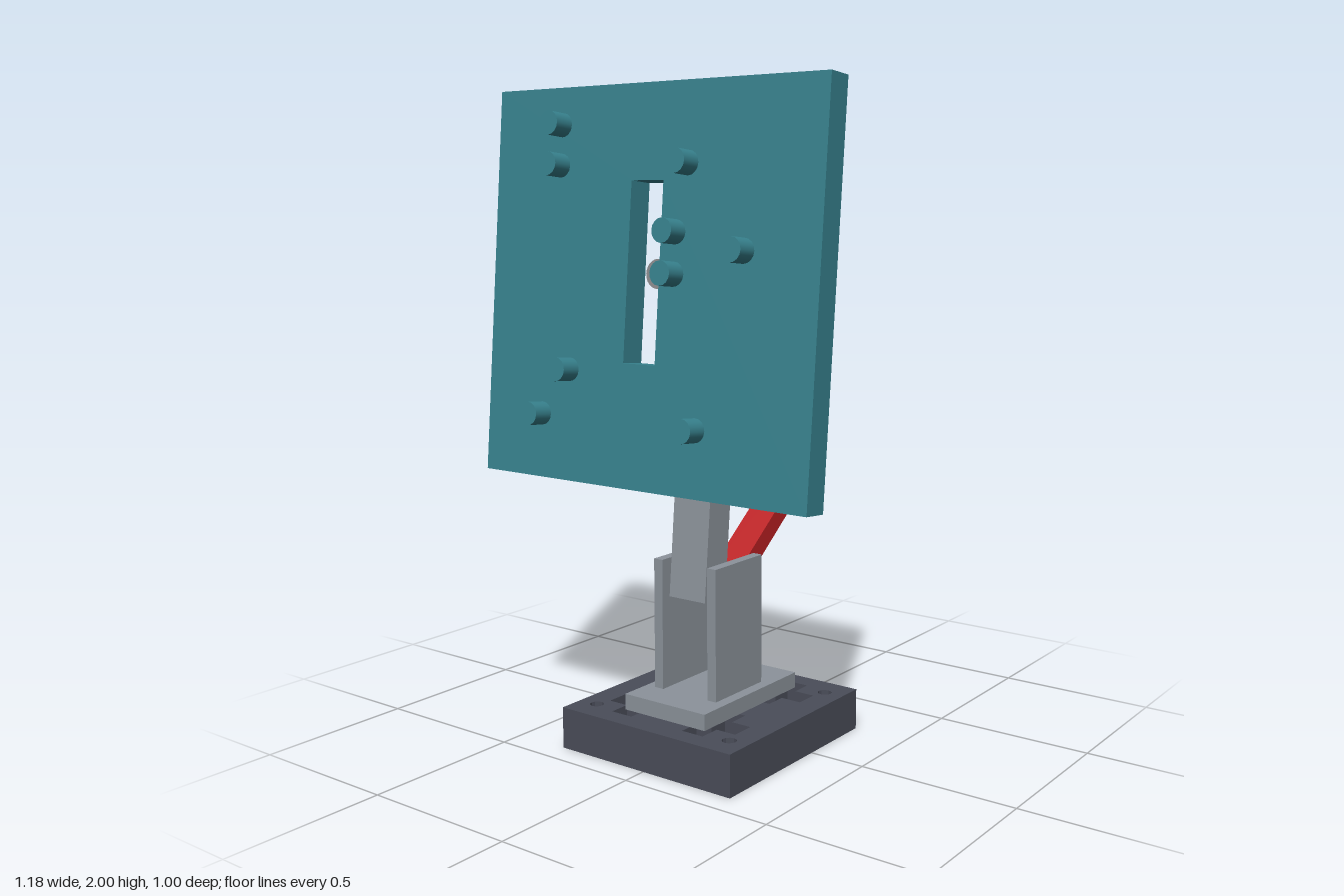
import * as THREE from 'three';

const mat = (name, color) => {
  const m = new THREE.MeshStandardMaterial({ color });
  m.name = name;
  return m;
};

function add(parent, name, geometry, material, x = 0, y = 0, z = 0) {
  const mesh = new THREE.Mesh(geometry, material);
  mesh.name = name;
  mesh.position.set(x, y, z);
  parent.add(mesh);
  return mesh;
}

function rectangle(Type, x0, y0, x1, y1) {
  return new Type([[x0, y0], [x1, y0], [x1, y1], [x0, y1]].map(p => new THREE.Vector2(...p)));
}

// Plus-shaped cut-out: long arm a, half-width w
function plusHole(cx, cy, a, w) {
  const points = [
    [w, a], [w, w], [a, w], [a, -w], [w, -w], [w, -a],
    [-w, -a], [-w, -w], [-a, -w], [-a, w], [-w, w], [-w, a],
  ];
  return new THREE.Path(points.map(([x, y]) => new THREE.Vector2(cx + x, cy + y)));
}

export function createModel() {
  const model = new THREE.Group();
  model.name = 'boardOnStand';
  const teal = mat('teal', 0x38838f);
  const slate = mat('slate', 0x4a4d59);
  const grey = mat('grey', 0x8c939b);
  const rodGrey = mat('rodGrey', 0x8c8c8f);
  const red = mat('red', 0xba2023);
  const tilt = THREE.MathUtils.degToRad(-5);
  const cz = 0.082;

  // Base slab with four plus-shaped openings and corner bolt holes
  const baseShape = rectangle(THREE.Shape, -0.32, -0.34, 0.32, 0.34);
  for (const sx of [-1, 1]) {
    for (const sy of [-1, 1]) {
      baseShape.holes.push(plusHole(sx * 0.136, sy * 0.17, 0.106, 0.038));
      const bolt = new THREE.Path();
      bolt.absarc(sx * 0.255, sy * 0.255, 0.022, 0, Math.PI * 2, true);
      baseShape.holes.push(bolt);
    }
  }
  const baseGeometry = new THREE.ExtrudeGeometry(baseShape, { depth: 0.13, bevelEnabled: false, curveSegments: 6 });
  baseGeometry.rotateX(-Math.PI / 2);
  add(model, 'base', baseGeometry, slate, 0, 0, cz);

  // Mounting plate and two upright brackets
  add(model, 'mountingPlate', new THREE.BoxGeometry(0.305, 0.05, 0.478), grey, 0, 0.155, cz);
  for (const [name, x] of [['rightBracket', -0.103], ['leftBracket', 0.101]]) {
    add(model, name, new THREE.BoxGeometry(0.032, 0.41, 0.237), grey, x, 0.385, 0.1);
  }

  // Leaning post with the rod at right angles to it
  const arm = new THREE.Group();
  arm.name = 'arm';
  arm.position.set(0, 1.005, 0.11);
  arm.rotation.x = tilt;
  model.add(arm);
  add(arm, 'post', new THREE.BoxGeometry(0.136, 1.07, 0.102), grey);
  const rodGeometry = new THREE.CylinderGeometry(0.043, 0.043, 0.23, 32);
  rodGeometry.rotateX(Math.PI / 2);
  add(arm, 'rod', rodGeometry, rodGrey, 0, 0.439, 0.15);

  // Leaning board with a vertical slot
  const board = new THREE.Group();
  board.name = 'board';
  board.position.set(0, 1.4235, 0.363);
  board.rotation.x = tilt;
  model.add(board);
  const panelShape = rectangle(THREE.Shape, -0.591, -0.575, 0.591, 0.575);
  panelShape.holes.push(rectangle(THREE.Path, -0.06, -0.215, 0.056, 0.303));
  const panelGeometry = new THREE.ExtrudeGeometry(panelShape, { depth: 0.08, bevelEnabled: false });
  panelGeometry.translate(0, 0, -0.04);
  add(board, 'panel', panelGeometry, teal);

  // Climbing pegs on the front of the board
  const pegGeometry = new THREE.CylinderGeometry(0.035, 0.035, 0.08, 16);
  pegGeometry.rotateX(Math.PI / 2);
  const pegs = [
    [-0.333, 0.466], [-0.333, 0.349], [0.141, 0.349],
    [0.108, 0.16], [0.344, 0.112], [0.108, 0.043],
    [-0.265, -0.246], [-0.368, -0.384], [0.208, -0.384],
  ];
  pegs.forEach(([x, y], i) => add(board, `peg${i + 1}`, pegGeometry, teal, x, y, 0.063));

  // Lever rising towards the back
  const lever = add(model, 'lever', new THREE.BoxGeometry(0.1, 0.058, 0.582), red, 0, 0.696, -0.246);
  lever.rotation.x = THREE.MathUtils.degToRad(38);

  return model;
}
